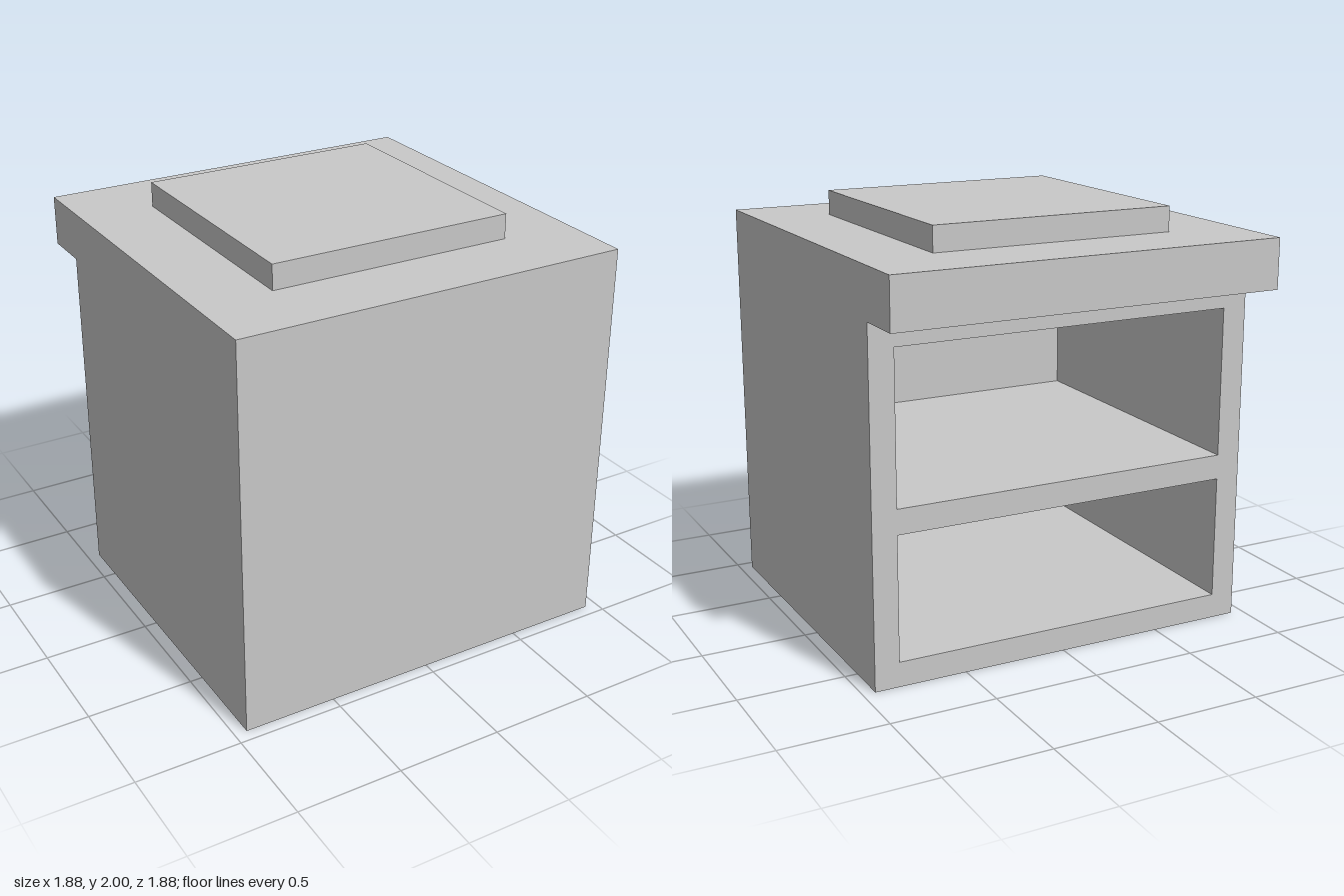
import * as THREE from 'three';

const U = 2 / 17; // one design unit: the whole counter is 17 units high

export function createModel() {
  const model = new THREE.Group();
  const grey = new THREE.MeshStandardMaterial({ color: 0xc8c8c8, side: THREE.DoubleSide });
  grey.name = 'plain grey';

  const rect = (Type, a0, b0, a1, b1) => new Type([[a0, b0], [a1, b0], [a1, b1], [a0, b1]]
    .map(([a, b]) => new THREE.Vector2(a, b)));

  // Thin panel drawn in two axes and set at a height along the third
  function panel(name, axis, at, outline, holes = []) {
    const shape = Array.isArray(outline) ? rect(THREE.Shape, ...outline) : outline;
    shape.holes = holes.map(h => rect(THREE.Path, ...h));
    const mesh = new THREE.Mesh(new THREE.ShapeGeometry(shape), grey);
    mesh.name = name;
    mesh.scale.setScalar(U);
    if (axis === 'x') mesh.rotation.y = -Math.PI / 2; // outline in z, y
    if (axis === 'y') mesh.rotation.x = -Math.PI / 2; // outline in x, -z
    mesh.position[axis] = at * U;
    model.add(mesh);
  }

  // Outer shell: plain front, floor, and sides that widen under the top
  panel('frontWall', 'z', 8, [-8, 0, 8, 16]);
  panel('base', 'y', 0, [-8, -8, 8, 6]);
  for (const side of [-1, 1]) {
    const profile = new THREE.Shape([[8, 0], [8, 16], [-8, 16], [-8, 14], [-6, 14], [-6, 0]]
      .map(([z, y]) => new THREE.Vector2(z, y)));
    panel('sideWall', 'x', side * 8, profile);
  }

  // Countertop: open beneath, with a raised hollow pad in the middle
  panel('countertop', 'y', 16, [-8, -8, 8, 8], [[-5, -5, 5, 5]]);
  panel('overhangEdge', 'z', -8, [-8, 14, 8, 16]);
  panel('padTop', 'y', 17, [-5, -5, 5, 5]);
  for (const side of [-1, 1]) {
    panel('padSide', 'x', side * 5, [-5, 16, 5, 17]);
    panel('padEnd', 'z', side * 5, [-5, 16, 5, 17]);
  }

  // Back frame with two open compartments
  panel('backFrame', 'z', -6, [-8, 0, 8, 14], [[-7, 1, 7, 6], [-7, 7, 7, 13]]);
  panel('compartmentFloor', 'y', 1, [-7, -7, 7, 6]);
  panel('shelf', 'y', 7, [-7, -7, 7, 6]);
  panel('compartmentCeiling', 'y', 13, [-7, -7, 7, 6]);
  panel('compartmentEnd', 'z', 7, [-7, 1, 7, 13]);
  for (const side of [-1, 1]) panel('compartmentSide', 'x', side * 7, [-6, 1, 7, 13]);

  // Lip below the shelf's open edge
  panel('shelfLipUnderside', 'y', 6, [-7, 5, 7, 6]);
  panel('shelfLipInside', 'z', -5, [-7, 6, 7, 7]);

  return model;
}
